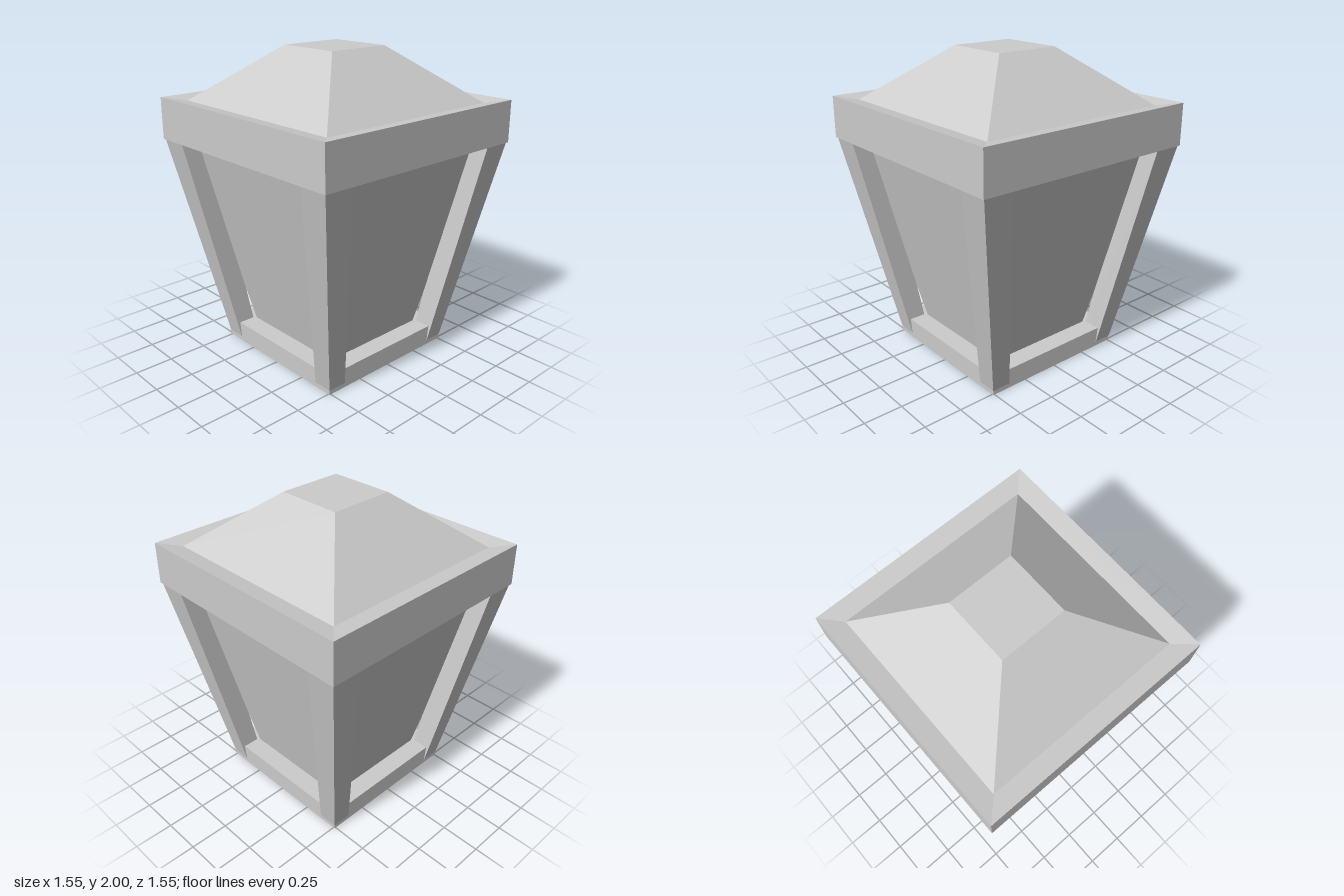
import * as THREE from 'three';

const material = new THREE.MeshStandardMaterial({ color: 0xcccccc, flatShading: true });

// Stacks four-sided rings [minX, maxX, minZ, maxZ, y] from bottom to top and caps both ends
function ringSolid(name, rings) {
  const positions = [];
  const corners = rings.map(([x0, x1, z0, z1, y]) => [[x0, y, z1], [x1, y, z1], [x1, y, z0], [x0, y, z0]]);
  const quad = (a, b, c, d) => positions.push(...a, ...b, ...c, ...a, ...c, ...d);
  for (let r = 0; r < corners.length - 1; r++) {
    const low = corners[r], high = corners[r + 1];
    for (let i = 0; i < 4; i++) {
      const j = (i + 1) % 4;
      quad(low[i], low[j], high[j], high[i]);
    }
  }
  const bottom = corners[0], top = corners[corners.length - 1];
  quad(bottom[3], bottom[2], bottom[1], bottom[0]);
  quad(top[0], top[1], top[2], top[3]);
  const geometry = new THREE.BufferGeometry();
  geometry.setAttribute('position', new THREE.Float32BufferAttribute(positions, 3));
  geometry.computeVertexNormals();
  const mesh = new THREE.Mesh(geometry, material);
  mesh.name = name;
  return mesh;
}

// Centred square ring
const square = (half, y) => [-half, half, -half, half, y];

export function createModel() {
  const lantern = new THREE.Group();
  lantern.name = 'lantern';

  // Base plate
  lantern.add(ringSolid('base', [square(0.51, 0), square(0.51, 0.13)]));

  // Tapered glass body
  lantern.add(ringSolid('glass', [square(0.38, 0.12), square(0.65, 1.41)]));

  // Four leaning corner posts, thicker towards the top
  for (let i = 0; i < 4; i++) {
    const post = ringSolid('cornerPost', [
      [0.385, 0.512, 0.385, 0.512, 0.03],
      [0.573, 0.767, 0.573, 0.767, 1.405],
    ]);
    post.rotation.y = i * Math.PI / 2;
    lantern.add(post);
  }

  // Roof: square band, rim dipping inwards, then a truncated pyramid
  lantern.add(ringSolid('roof', [
    square(0.775, 1.4),
    square(0.775, 1.67),
    square(0.655, 1.65),
    square(0.215, 2),
  ]));

  return lantern;
}
